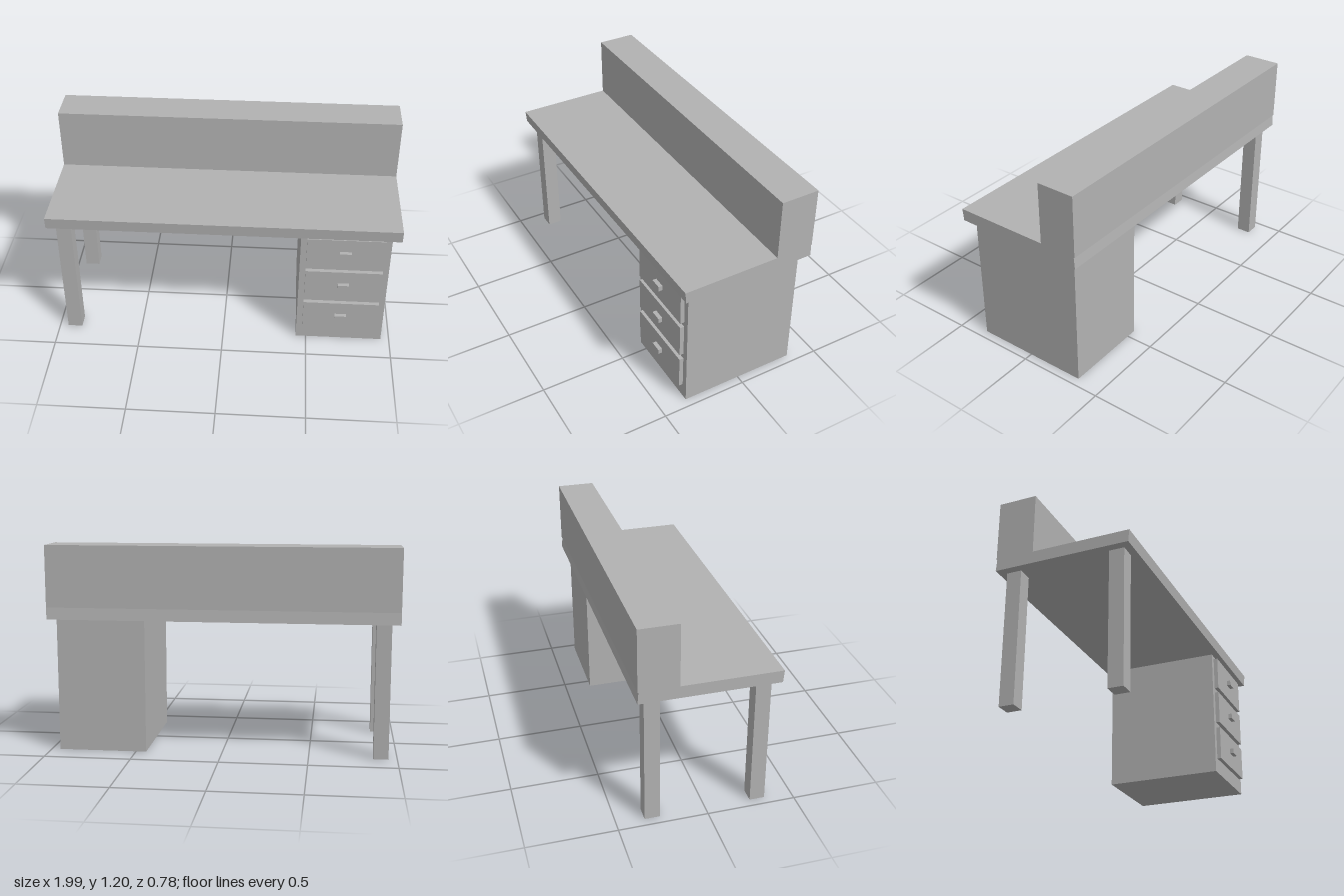
import * as THREE from 'three';

export function createModel() {
  const group = new THREE.Group();
  group.name = 'desk';
  const grey = new THREE.MeshStandardMaterial({ name: 'grey', color: 0xb2b2b2 });

  // Box given by its minimum and maximum along each axis
  function box(name, [x0, x1], [y0, y1], [z0, z1]) {
    const mesh = new THREE.Mesh(new THREE.BoxGeometry(x1 - x0, y1 - y0, z1 - z0), grey);
    mesh.position.set((x0 + x1) / 2, (y0 + y1) / 2, (z0 + z1) / 2);
    mesh.name = name;
    group.add(mesh);
    return mesh;
  }

  // Desktop slab, its end edges leaning slightly
  const top = box('desktop', [-0.997, 0.997], [0.773, 0.842], [-0.384, 0.388]);
  const p = top.geometry.attributes.position;
  for (let i = 0; i < p.count; i++) p.setZ(i, p.getZ(i) + Math.sign(p.getY(i)) * 0.003);
  top.geometry.computeVertexNormals();

  // Long raised box along the back
  box('backShelf', [-0.997, 0.997], [0.842, 1.196], [-0.386, -0.166]);

  // Two legs under the right end
  box('frontLeg', [-0.95, -0.865], [0, 0.775], [0.258, 0.343]);
  box('backLeg', [-0.95, -0.865], [0, 0.775], [-0.343, -0.258]);

  // Drawer pedestal with three drawer fronts and handles
  box('pedestal', [0.44, 0.95], [0, 0.775], [-0.343, 0.343]);
  for (const y of [0.19, 0.425, 0.655]) {
    box('drawerFront', [0.475, 0.915], [y - 0.1, y + 0.1], [0.343, 0.367]);
    box('drawerHandle', [0.661, 0.727], [y - 0.01, y + 0.02], [0.367, 0.39]);
  }

  return group;
}
